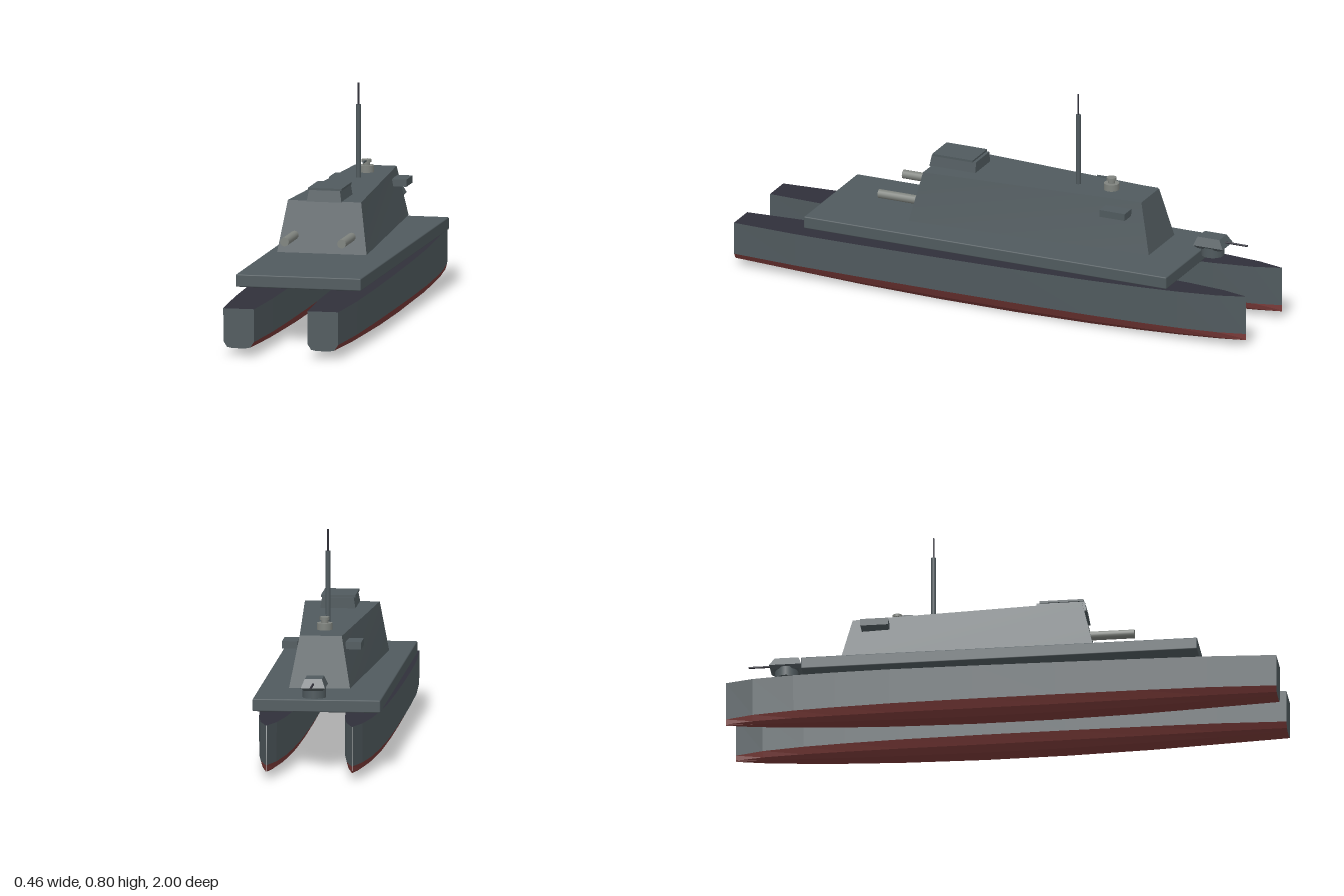
import * as THREE from 'three';
import { RoundedBoxGeometry } from 'three/addons/geometries/RoundedBoxGeometry.js';

const mat = (name, color, extra = {}) => new THREE.MeshStandardMaterial({ name, color, ...extra });

export function createModel() {
  const grey = mat('warship grey', 0x505a5e);
  const dark = mat('dark deck', 0x30303a);
  const red = mat('red bottom paint', 0x7a3a38);
  const light = mat('light metal', 0x80847f);

  const model = new THREE.Group();
  const add = (name, geometry, material, x = 0, y = 0, z = 0, parent = model) => {
    const mesh = new THREE.Mesh(geometry, material);
    mesh.name = name;
    mesh.position.set(x, y, z);
    parent.add(mesh);
    return mesh;
  };

  // Six-sided block; each end is [y, front z, front half width, rear z, rear half width]
  const taper = (bottom, top) => {
    const g = new THREE.BoxGeometry(2, 2, 2);
    const p = g.attributes.position;
    for (let i = 0; i < p.count; i++) {
      const [y, zf, wf, zr, wr] = p.getY(i) > 0 ? top : bottom;
      const front = p.getZ(i) > 0;
      p.setXYZ(i, p.getX(i) * (front ? wf : wr), y, front ? zf : zr);
    }
    g.computeVertexNormals();
    return g;
  };

  // Hull stations: [z, half width]
  const stations = [[1, 0.057], [0.75, 0.071], [0.5, 0.075], [0.2, 0.076], [-0.1, 0.075],
    [-0.4, 0.07], [-0.6, 0.06], [-0.75, 0.049], [-0.9, 0.029], [-1, 0.001]];
  const rings = stations.map(([z, w]) => {
    const half = [
      [w, 0.181 - 0.012 * z + 0.003 * z * z],  // gunwale
      [w * 0.98, 0.052],                       // waterline
      [w * 0.76, 0.021 + 0.011 * z * z],       // chine
      [w * 0.42, 0.028 * z * z],               // keel flat
    ];
    return [...half.map(([x, y]) => [-x, y, z]), ...half.reverse().map(([x, y]) => [x, y, z])];
  });
  const flat = (points) => {
    const g = new THREE.BufferGeometry();
    g.setAttribute('position', new THREE.Float32BufferAttribute(points.flat(), 3));
    g.computeVertexNormals();
    return g;
  };
  const strips = (columns) => {
    const pts = [];
    for (const j of columns) {
      const k = (j + 1) % 8;
      for (let i = 0; i < rings.length - 1; i++) {
        const a = rings[i], b = rings[i + 1];
        pts.push(a[j], b[j], a[k], a[k], b[j], b[k]);
      }
    }
    return pts;
  };
  const transom = [];
  for (let j = 1; j < 7; j++) transom.push(rings[0][0], rings[0][j], rings[0][j + 1]);
  const hullSides = flat([...strips([0, 6]), ...transom]);
  const hullBottom = flat(strips([1, 2, 3, 4, 5]));
  const hullDeck = flat(strips([7]));

  for (const s of [-1, 1]) {
    const hull = new THREE.Group();
    hull.name = s > 0 ? 'leftHull' : 'rightHull';
    hull.position.x = s * 0.155;
    model.add(hull);
    add('hullSides', hullSides, grey, 0, 0, 0, hull);
    add('hullBottom', hullBottom, red, 0, 0, 0, hull);
    add('hullDeck', hullDeck, dark, 0, 0, 0, hull);

    // Forward tubes and side sponsons
    const tube = add('frontTube', new THREE.CylinderGeometry(0.016, 0.016, 0.165, 16), light, s * 0.105, 0.334, 0.392);
    tube.rotation.x = Math.PI / 2;
    add('sideSponson', new THREE.BoxGeometry(0.056, 0.026, 0.1), grey, s * 0.115, 0.417, -0.465);
  }

  // Bridging deck and main superstructure
  add('crossDeck', new RoundedBoxGeometry(0.462, 0.045, 1.435, 1, 0.004), grey, 0, 0.227, -0.002);
  add('superstructure', taper([0.273, 0.33, 0.165, -0.595, 0.11], [0.457, 0.287, 0.135, -0.55, 0.076]), grey);

  // Raised cabin with its roof slab
  add('cabin', taper([0.455, 0.295, 0.064, 0.113, 0.064], [0.496, 0.288, 0.057, 0.113, 0.057]), grey);
  add('cabinRoof', new THREE.BoxGeometry(0.124, 0.008, 0.16), grey, 0, 0.499, 0.204);

  // Mast
  add('mast', new THREE.CylinderGeometry(0.009, 0.009, 0.268, 12), grey, 0, 0.589, -0.266);
  add('mastTip', new THREE.CylinderGeometry(0.003, 0.003, 0.08, 8), dark, 0, 0.762, -0.266);

  // Small roof mount
  add('roofMountBase', new THREE.CylinderGeometry(0.028, 0.028, 0.025, 16), light, 0, 0.469, -0.397);
  add('roofMountNeck', new THREE.CylinderGeometry(0.013, 0.013, 0.014, 12), light, 0, 0.488, -0.397);
  add('roofMountHead', new THREE.CylinderGeometry(0.018, 0.018, 0.01, 12), light, 0, 0.498, -0.397);
  add('roofMountBarrel', new THREE.BoxGeometry(0.006, 0.006, 0.06), grey, 0, 0.499, -0.37);

  // Bow gun turret
  add('turretBase', new THREE.CylinderGeometry(0.042, 0.042, 0.035, 16), grey, 0, 0.289, -0.798);
  add('turretLower', taper([0.3, -0.752, 0.034, -0.842, 0.034], [0.312, -0.74, 0.044, -0.857, 0.044]), grey);
  add('turretUpper', taper([0.312, -0.74, 0.044, -0.857, 0.044], [0.343, -0.752, 0.031, -0.838, 0.031]), grey);
  const barrel = add('turretBarrel', new THREE.CylinderGeometry(0.004, 0.004, 0.1, 8), dark, 0, 0.325, -0.885);
  barrel.rotation.x = Math.PI / 2;

  return model;
}
